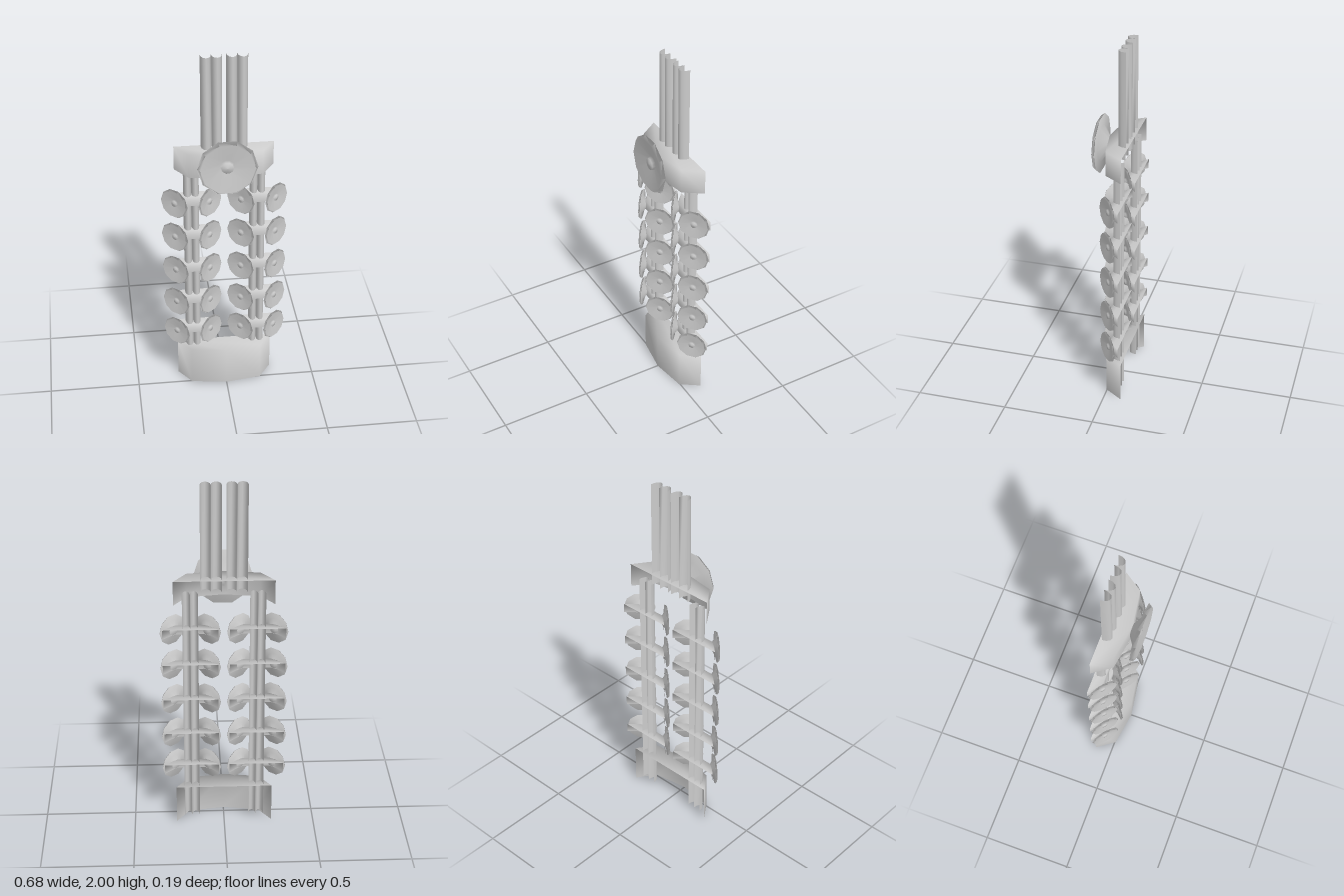
import * as THREE from 'three';

const mat = new THREE.MeshStandardMaterial({ color: 0xcccccc, side: THREE.DoubleSide });

function add(parent, geo, name, x = 0, y = 0, z = 0) {
  const m = new THREE.Mesh(geo, mat);
  m.name = name;
  m.position.set(x, y, z);
  parent.add(m);
  return m;
}

// Upright wall along an open outline of [x, z] points, from y0 to y1,
// with an optional lid on top; the back stays open.
function shell(outline, y0, y1, lid) {
  const pos = [], index = [], n = outline.length;
  for (const [x, z] of outline) pos.push(x, y0, z, x, y1, z);
  for (let i = 0; i < n - 1; i++) {
    const a = 2 * i;
    index.push(a, a + 2, a + 1, a + 1, a + 2, a + 3);
  }
  if (lid) {
    for (let i = 1; i < n - 1; i++) index.push(1, 2 * i + 1, 2 * i + 3);
  }
  const g = new THREE.BufferGeometry();
  g.setAttribute('position', new THREE.Float32BufferAttribute(pos, 3));
  g.setIndex(index);
  g.computeVertexNormals();
  return g;
}

// Outline of half pipes side by side, bulging forward
function pipes(x0, x1, count, zBack, zFront) {
  const pts = [], sides = 6, w = (x1 - x0) / count;
  for (let k = 0; k < count; k++) {
    for (let i = k ? 1 : 0; i <= sides; i++) {
      const a = Math.PI * (1 - i / sides);
      pts.push([x0 + w * (k + 0.5 + Math.cos(a) / 2), zBack + (zFront - zBack) * Math.sin(a)]);
    }
  }
  return pts;
}

// Ten-sided dish facing +z, with its rim centred on the origin
function dish(radius) {
  const profile = [[0, -0.32], [0.22, -0.32], [0.62, -0.06], [1, -0.06], [0.9, 0.06],
    [0.24, -0.14], [0.2, -0.03], [0, 0.0]]
    .map(([r, h]) => new THREE.Vector2(r * radius, h * radius));
  const g = new THREE.LatheGeometry(profile, 10, Math.PI / 10);
  g.rotateX(Math.PI / 2);
  return g;
}

export function createModel() {
  const model = new THREE.Group();
  model.name = 'lampTower';

  // Faceted base and head, open at the back
  const hull = [[-0.265, -0.095], [-0.195, 0.005], [0, 0.035], [0.195, 0.005], [0.265, -0.095]];
  add(model, shell(hull, 0, 0.225, true), 'base');
  add(model, shell(hull, 1.345, 1.48, true), 'head');

  // Large dish on the head
  add(model, dish(0.16), 'mainDish', 0, 1.43, 0.085);

  const lamp = dish(0.086);
  const pole = shell(pipes(-0.042, 0.042, 2, -0.08, -0.038), 0.03, 1.4, false);
  const upper = shell(pipes(-0.056, 0.056, 2, -0.083, -0.036), 1.41, 2, false);
  const arm = shell([[-0.148, -0.095], [-0.105, -0.055], [-0.075, -0.035],
    [0.075, -0.035], [0.105, -0.055], [0.148, -0.095]], -0.027, 0.027, true);

  for (const side of [-1, 1]) {
    const prefix = side > 0 ? 'left' : 'right';
    // Support pole and upper pipes
    add(model, pole, prefix + 'Pole', side * 0.1775);
    add(model, upper, prefix + 'UpperPipes', side * 0.067);

    // Rows of paired lamps on bracket arms
    for (const y of [0.345, 0.545, 0.755, 0.967, 1.175]) {
      const row = new THREE.Group();
      row.name = prefix + 'LampRow';
      row.position.set(side * 0.1775, y, 0);
      model.add(row);
      add(row, arm, 'arm');
      for (const s of [-1, 1]) {
        add(row, lamp, 'lamp', s * 0.098, 0, -0.023).rotation.y = s * 0.7;
      }
    }
  }
  return model;
}
